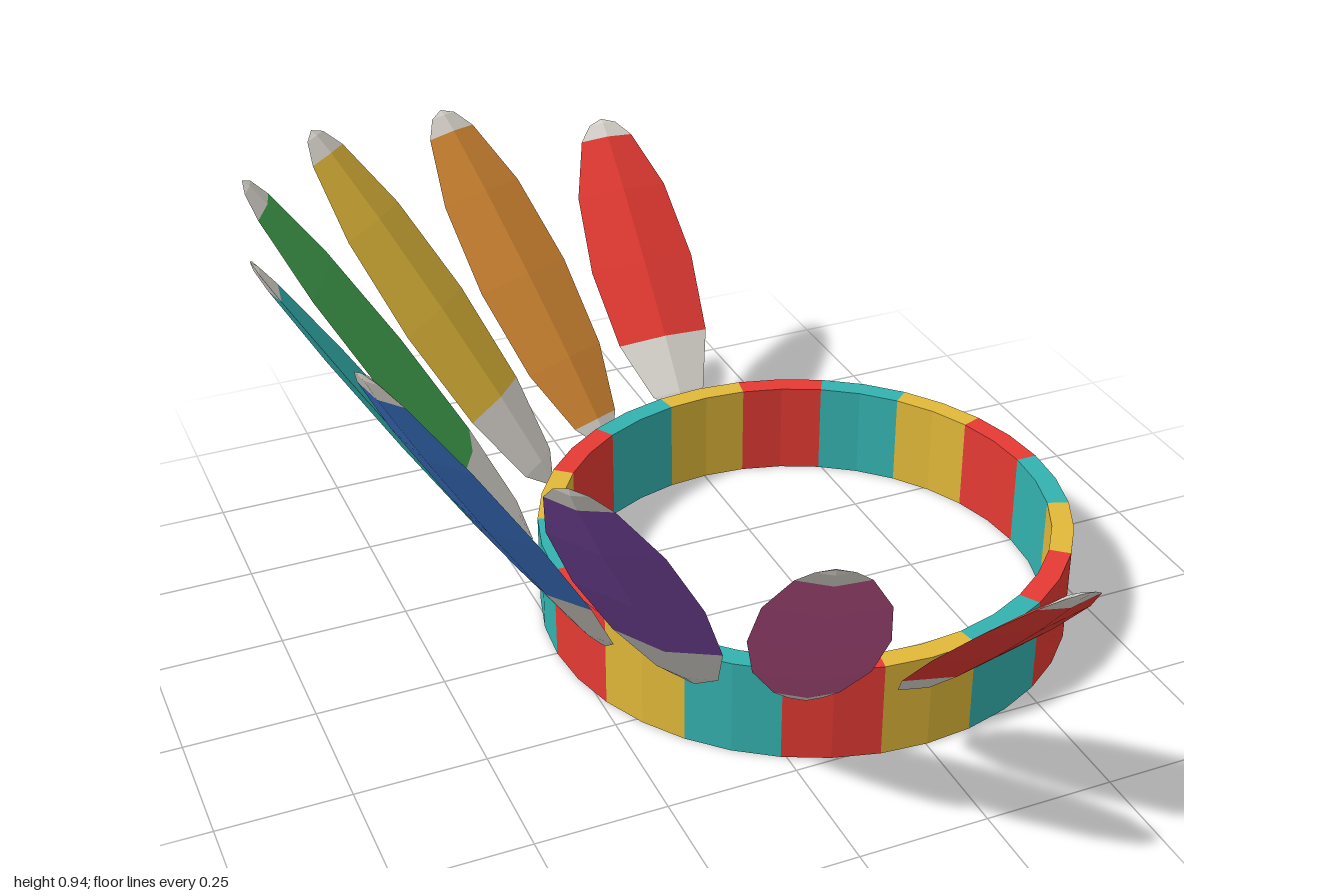
import * as THREE from 'three';

const mat = (name, color) => {
  const m = new THREE.MeshStandardMaterial({ color, flatShading: true });
  m.name = name;
  return m;
};

export function createModel() {
  const red = mat('red', 0xe53a33);
  const pink = mat('pink', 0xc4568f);
  const purple = mat('purple', 0x7d4aa8);
  const blue = mat('blue', 0x3c74c8);
  const teal = mat('teal', 0x33b2af);
  const green = mat('green', 0x43a851);
  const yellow = mat('yellow', 0xe2b93a);
  const orange = mat('orange', 0xd68a33);
  const white = mat('feather white', 0xdcd8d0);

  const model = new THREE.Group();
  model.name = 'featherHeadband';

  // Headband: 18 curved blocks in three repeating colours
  const band = new THREE.Group();
  band.name = 'headband';
  band.position.set(0.253, 0, 0);
  const outer = 0.525, inner = 0.482, height = 0.195;
  const blocks = 18, facets = 2, step = (Math.PI * 2) / blocks;
  const arc = new THREE.Shape();
  for (let i = 0; i <= facets; i++) {
    const a = (step * i) / facets;
    if (i === 0) arc.moveTo(outer, 0);
    else arc.lineTo(outer * Math.cos(a), outer * Math.sin(a));
  }
  for (let i = facets; i >= 0; i--) {
    const a = (step * i) / facets;
    arc.lineTo(inner * Math.cos(a), inner * Math.sin(a));
  }
  const blockGeo = new THREE.ExtrudeGeometry(arc, { depth: height, bevelEnabled: false });
  blockGeo.rotateX(Math.PI / 2).translate(0, height, 0);
  const bandColours = [teal, yellow, red];
  for (let i = 0; i < blocks; i++) {
    const block = new THREE.Mesh(blockGeo, bandColours[i % 3]);
    block.name = 'bandBlock';
    block.rotation.y = -i * step;
    band.add(block);
  }
  model.add(band);

  // Feather: flattened four-sided spindle in three lengths of colour
  const deg = Math.PI / 180;
  const slice = (from, to) =>
    new THREE.SphereGeometry(1, 4, (to - from) / 30, 0, Math.PI * 2, from * deg, (to - from) * deg);
  const makeFeather = (colour, quillStart, length) => {
    const feather = new THREE.Group();
    feather.name = 'feather';
    const parts = [
      ['featherTip', 0, 30, white],
      ['featherVane', 30, quillStart, colour],
      ['featherQuill', quillStart, 180, white],
    ];
    for (const [name, from, to, material] of parts) {
      const mesh = new THREE.Mesh(slice(from, to), material);
      mesh.name = name;
      feather.add(mesh);
    }
    feather.scale.set(0.117, length / 2, 0.02);
    return feather;
  };

  // Fan of nine feathers, tallest in the middle
  const fan = new THREE.Group();
  fan.name = 'featherFan';
  fan.position.set(0.222, 0, 0);
  const colours = [red, pink, purple, blue, teal, green, yellow, orange, red];
  // base radius, tip radius and tip height, from the ends to the middle
  const sizes = [
    [0.53, 0.997, 0.643],
    [0.522, 1.01, 0.752],
    [0.513, 1.013, 0.847],
    [0.507, 1.003, 0.915],
    [0.503, 1.003, 0.943],
  ];
  const baseY = 0.14;
  colours.forEach((colour, i) => {
    const k = Math.min(i, 8 - i);
    const [r0, r1, tipY] = sizes[k];
    const feather = makeFeather(colour, k === 1 ? 150 : 120, Math.hypot(r1 - r0, tipY - baseY));
    feather.position.set(0, (tipY + baseY) / 2, (r0 + r1) / 2);
    feather.rotation.x = Math.atan2(r1 - r0, tipY - baseY);
    const arm = new THREE.Group();
    arm.name = 'featherMount';
    arm.rotation.y = (-i * Math.PI) / 8;
    arm.add(feather);
    fan.add(arm);
  });
  model.add(fan);

  return model;
}
